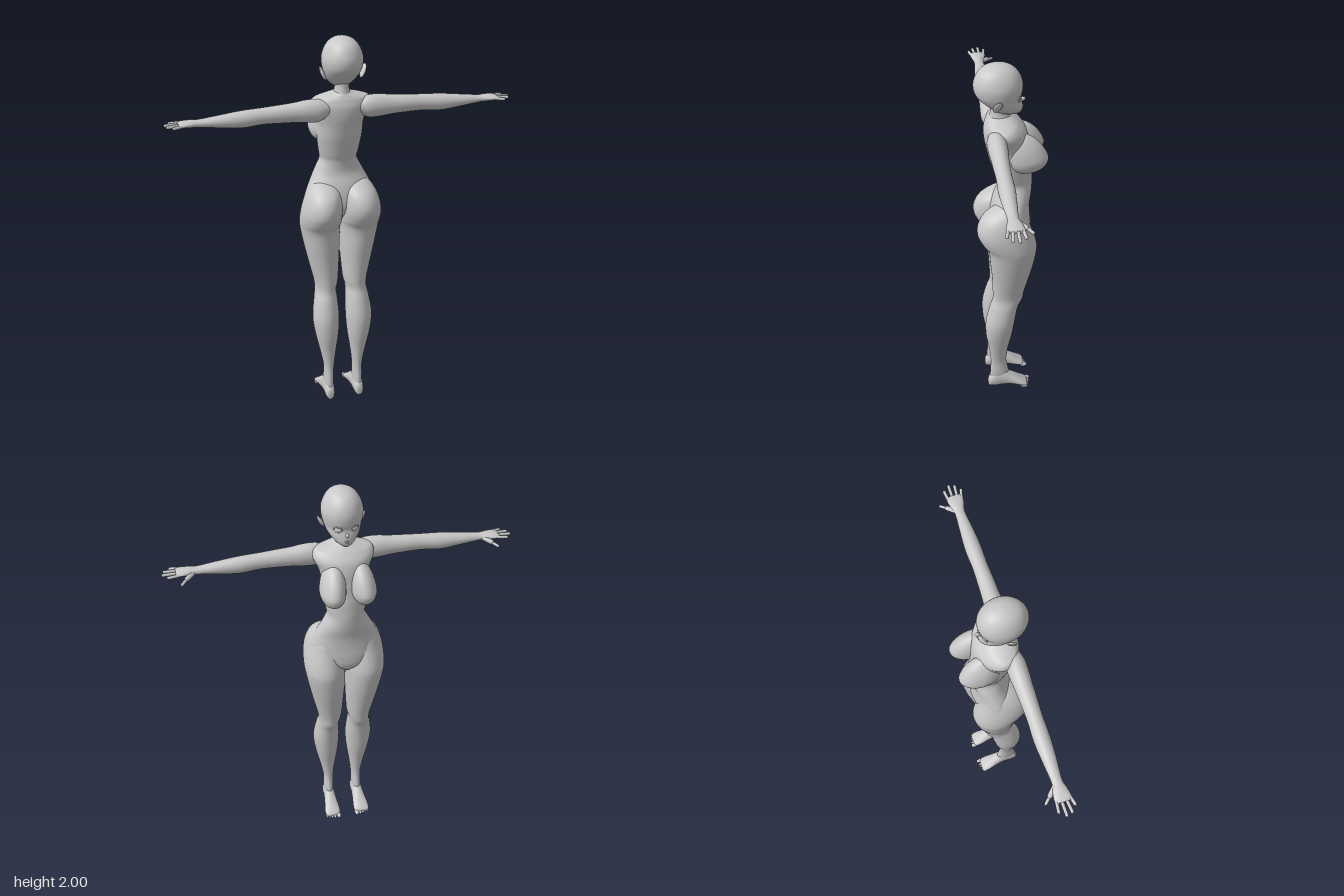
import * as THREE from 'three';

const skin = new THREE.MeshStandardMaterial({ color: 0xc8c8c8 });
skin.name = 'plainGrey';

// Smooth interpolation of one column of a section table
function spline(rows, u, k) {
  const i = Math.min(Math.floor(u), rows.length - 2), f = u - i;
  const at = n => rows[Math.max(0, Math.min(rows.length - 1, n))][k];
  const [a, b, c, d] = [at(i - 1), at(i), at(i + 1), at(i + 2)];
  return b + 0.5 * f * (c - a + f * (2 * a - 5 * b + 4 * c - d + f * (3 * (b - c) + d - a)));
}

// Closed skin over oval sections; each row is [t, a min, a max, b min, b max]
function loft(rows, map, seg = 36, sub = 5) {
  const pos = [], idx = [], n = (rows.length - 1) * sub;
  for (let i = 0; i <= n; i++) {
    const [t, a0, a1, b0, b1] = [0, 1, 2, 3, 4].map(k => spline(rows, i / sub, k));
    for (let j = 0; j < seg; j++) {
      const w = j / seg * Math.PI * 2;
      pos.push(...map((a0 + a1) / 2 + (a1 - a0) / 2 * Math.cos(w), t, (b0 + b1) / 2 + (b1 - b0) / 2 * Math.sin(w)));
    }
  }
  for (const r of [rows[0], rows[rows.length - 1]]) pos.push(...map((r[1] + r[2]) / 2, r[0], (r[3] + r[4]) / 2));
  const end = (n + 1) * seg;
  for (let j = 0; j < seg; j++) {
    const k = (j + 1) % seg;
    for (let i = 0; i < n; i++) {
      const a = i * seg + j, b = a + seg, c = i * seg + k, d = c + seg;
      idx.push(a, b, c, c, b, d);
    }
    idx.push(end, j, k, end + 1, n * seg + k, n * seg + j);
  }
  // Turn the faces outward whatever the mapping does
  const v = i => new THREE.Vector3().fromArray(pos, i * 3);
  let volume = 0;
  for (let i = 0; i < idx.length; i += 3) volume += v(idx[i]).dot(v(idx[i + 1]).cross(v(idx[i + 2])));
  if (volume < 0) idx.reverse();
  const g = new THREE.BufferGeometry();
  g.setAttribute('position', new THREE.Float32BufferAttribute(pos, 3));
  g.setIndex(idx);
  g.computeVertexNormals();
  return g;
}

export function createModel() {
  const group = new THREE.Group();
  const add = (name, geometry) => {
    const m = new THREE.Mesh(geometry, skin);
    m.name = name;
    group.add(m);
    return m;
  };
  const ball = (name, r, p, rot = [0, 0, 0]) => {
    const m = add(name, new THREE.SphereGeometry(1, 28, 20));
    m.scale.set(...r);
    m.position.set(...p);
    m.rotation.set(...rot);
    return m;
  };
  // Rounded digit between two points
  const digit = (name, from, to, r) => {
    const a = new THREE.Vector3(...from), b = new THREE.Vector3(...to), d = b.clone().sub(a);
    const m = add(name, new THREE.CapsuleGeometry(r, d.length(), 4, 10));
    m.position.copy(a).add(b).multiplyScalar(0.5);
    m.quaternion.setFromUnitVectors(new THREE.Vector3(0, 1, 0), d.normalize());
  };
  const upright = (a, t, b) => [a, t, b];
  const centred = rows => rows.map(([y, r, z0, z1]) => [y, -r, r, z0, z1]);

  // Head, tapering to the chin
  add('head', loft(centred([
    [2.0, 0.004, 0.05, 0.06], [1.992, 0.038, 0.008, 0.1], [1.972, 0.067, -0.026, 0.137], [1.94, 0.088, -0.05, 0.16],
    [1.9, 0.1, -0.062, 0.172], [1.86, 0.098, -0.06, 0.167], [1.83, 0.09, -0.052, 0.148], [1.8, 0.079, -0.058, 0.118],
    [1.77, 0.058, -0.062, 0.085], [1.75, 0.036, -0.056, 0.05], [1.738, 0.015, -0.045, 0.0],
  ]), upright, 48));
  ball('nose', [0.008, 0.011, 0.015], [0, 1.808, -0.061], [0.5, 0, 0]);
  ball('upperLip', [0.014, 0.003, 0.006], [0, 1.778, -0.059]);
  ball('lowerLip', [0.011, 0.004, 0.006], [0, 1.771, -0.058]);
  add('neck', loft(centred([
    [1.82, 0.037, 0.0, 0.1], [1.78, 0.035, 0.0, 0.092], [1.74, 0.036, 0.0, 0.095], [1.7, 0.05, -0.015, 0.105], [1.66, 0.06, -0.02, 0.11],
  ]), upright));

  // Torso from collar to crotch
  add('torso', loft(centred([
    [1.735, 0.03, 0.005, 0.09], [1.722, 0.06, -0.012, 0.1], [1.71, 0.105, -0.028, 0.107], [1.695, 0.142, -0.045, 0.115],
    [1.66, 0.15, -0.075, 0.126], [1.61, 0.128, -0.09, 0.126], [1.56, 0.116, -0.095, 0.117], [1.5, 0.114, -0.1, 0.104],
    [1.45, 0.108, -0.107, 0.09], [1.4, 0.1, -0.11, 0.075], [1.36, 0.096, -0.111, 0.063], [1.3, 0.125, -0.107, 0.062],
    [1.24, 0.156, -0.098, 0.085], [1.18, 0.178, -0.099, 0.1], [1.12, 0.175, -0.104, 0.1], [1.07, 0.125, -0.1, 0.07],
    [1.025, 0.03, -0.065, 0.02],
  ]), upright, 48));

  for (const s of [1, -1]) {
    const side = s > 0 ? 'left' : 'right';
    const mirrored = (a, t, b) => [s * a, t, b];

    // Bust: ball stretched upward and leaning back into the chest
    const bust = new THREE.SphereGeometry(1, 32, 24), p = bust.attributes.position;
    for (let i = 0; i < p.count; i++) {
      const y = p.getY(i), up = Math.max(0, y) * 0.13;
      p.setXYZ(i, p.getX(i) * 0.063 + s * (0.076 - up * 0.1), 1.525 + (y > 0 ? up : y * 0.08), p.getZ(i) * 0.105 - 0.075 + up * 0.28);
    }
    bust.computeVertexNormals();
    add(side + 'Bust', bust);

    // Ear, flared outward at the top
    ball(side + 'Ear', [0.009, 0.036, 0.021], [s * 0.1, 1.828, 0.068], [-0.15, s * 0.35, -s * 0.4]);

    // Eye with upper lid
    ball(side + 'Eye', [0.019, 0.014, 0.006], [s * 0.041, 1.832, -0.041], [0, -s * 0.45, 0]);
    const lid = add(side + 'UpperLid', new THREE.TorusGeometry(0.021, 0.0025, 6, 20, Math.PI));
    lid.scale.set(1, 0.75, 1);
    lid.position.set(s * 0.041, 1.834, -0.045);
    lid.rotation.y = -s * 0.45;

    // Leg, starting with the full hip and seat
    add(side + 'Leg', loft([
      [1.262, 0.055, 0.115, 0.0, 0.045], [1.24, 0.022, 0.15, -0.05, 0.095], [1.2, 0.006, 0.178, -0.075, 0.148],
      [1.15, 0.001, 0.196, -0.088, 0.174], [1.1, -0.002, 0.206, -0.105, 0.175], [1.05, -0.003, 0.209, -0.12, 0.153],
      [1.0, 0.0, 0.205, -0.125, 0.122], [0.9, 0.003, 0.186, -0.112, 0.112], [0.8, 0.008, 0.164, -0.09, 0.103],
      [0.7, 0.016, 0.141, -0.067, 0.1], [0.65, 0.027, 0.137, -0.057, 0.102], [0.6, 0.025, 0.146, -0.033, 0.118],
      [0.5, 0.02, 0.159, -0.015, 0.14], [0.4, 0.026, 0.147, 0.0, 0.14], [0.3, 0.04, 0.125, 0.02, 0.125],
      [0.2, 0.052, 0.106, 0.03, 0.116], [0.12, 0.054, 0.106, 0.018, 0.12], [0.06, 0.056, 0.104, 0.015, 0.122],
    ], mirrored, 40));

    // Foot and toes
    add(side + 'Foot', loft([
      [0.133, 0.072, 0.09, 0.025, 0.05], [0.126, 0.06, 0.102, 0.01, 0.078], [0.095, 0.053, 0.108, 0.004, 0.11],
      [0.05, 0.05, 0.11, 0.008, 0.125], [0.0, 0.046, 0.116, 0.01, 0.094], [-0.05, 0.04, 0.125, 0.006, 0.055],
      [-0.078, 0.043, 0.122, 0.006, 0.034], [-0.087, 0.055, 0.11, 0.01, 0.024],
    ], (a, z, y) => [s * a, y, z], 32));
    [0.052, 0.073, 0.089, 0.104, 0.117].forEach((x, i) => {
      const r = i ? 0.0085 - i * 0.0004 : 0.012;
      ball(side + 'Toe' + (i + 1), [r, r, 0.021], [s * x, r + 0.001, -0.085 + i * 0.004]);
    });

    // Arm running into the palm
    add(side + 'Arm', loft([
      [0.07, 1.63, 1.685, 0.05, 0.11], [0.12, 1.596, 1.704, 0.032, 0.124], [0.18, 1.594, 1.706, 0.03, 0.124],
      [0.24, 1.6, 1.698, 0.034, 0.12], [0.3, 1.603, 1.693, 0.037, 0.118], [0.4, 1.605, 1.686, 0.04, 0.114],
      [0.5, 1.597, 1.68, 0.037, 0.115], [0.6, 1.607, 1.668, 0.043, 0.109], [0.7, 1.619, 1.656, 0.05, 0.1],
      [0.74, 1.622, 1.656, 0.041, 0.108], [0.78, 1.626, 1.652, 0.034, 0.115], [0.8, 1.632, 1.646, 0.042, 0.108],
    ], (a, x, b) => [s * x, a, b], 32));

    // Fingers and thumb
    [[0.044, 0.037, 0.835], [0.065, 0.066, 0.858], [0.086, 0.094, 0.85], [0.105, 0.117, 0.822]].forEach(([z0, z1, x], i) =>
      digit(side + 'Finger' + (i + 1), [s * 0.775, 1.639, z0], [s * x, 1.636, z1], 0.008));
    digit(side + 'ThumbBase', [s * 0.72, 1.634, 0.058], [s * 0.752, 1.625, 0.026], 0.012);
    digit(side + 'ThumbTip', [s * 0.752, 1.625, 0.026], [s * 0.778, 1.614, -0.001], 0.0075);
  }
  return group;
}
